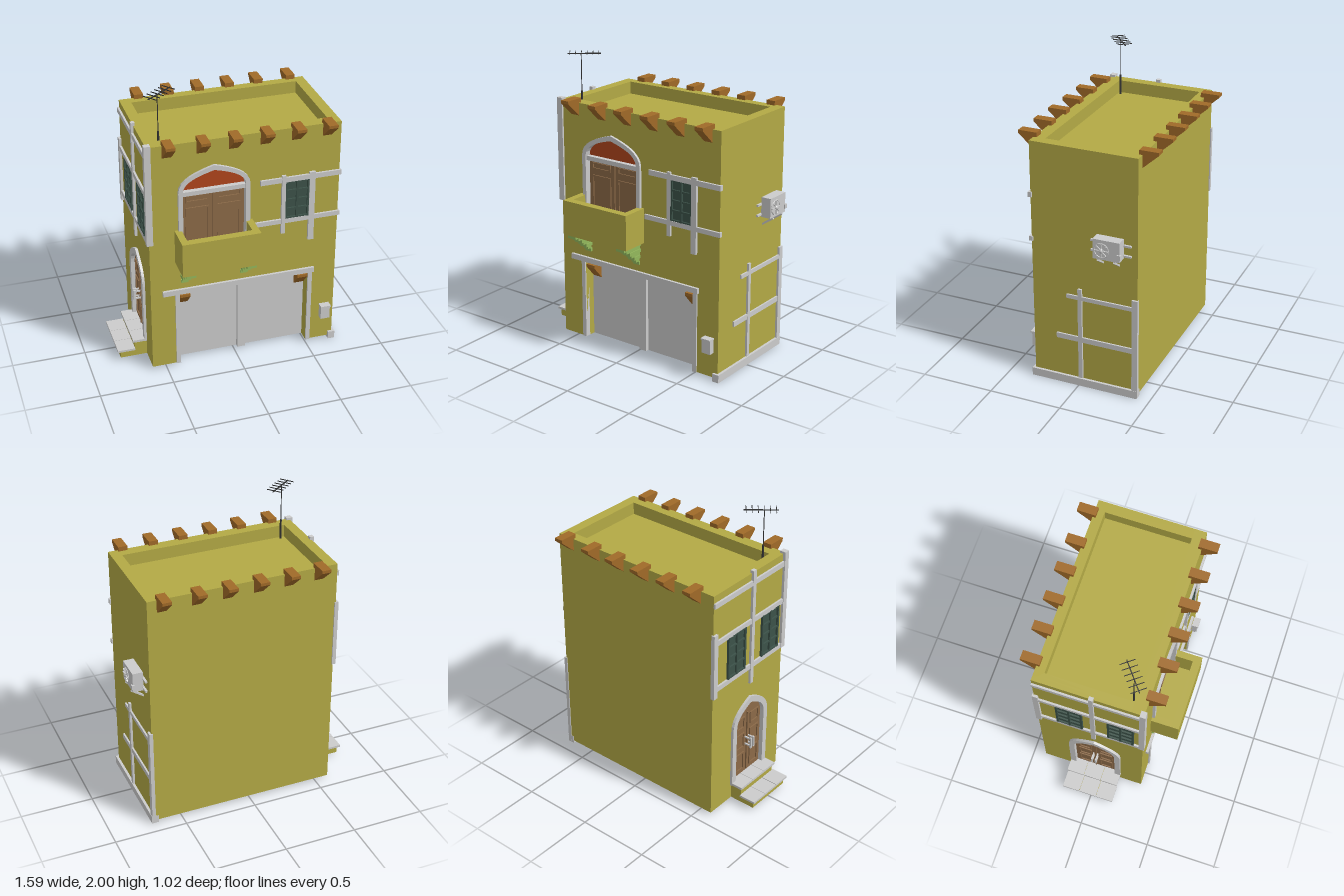
import * as THREE from 'three';

const mat = (color, side = THREE.FrontSide) => new THREE.MeshStandardMaterial({ color, side, flatShading: true });
const GREY = mat(0xcccccc), PLASTER = mat(0xb3a945, THREE.DoubleSide), TIMBER = mat(0xa06a28);
const DOOR = mat(0x8c6a48), RED = mat(0xb0451c), GLASS = mat(0x3c5249), GREEN = mat(0x93b85c), DARK = mat(0x333333);

// Facade planes, measured outward from the centre
const FRONT = 0.32, BACK = 0.41, LEFT = 0.595, RIGHT = 0.695, BASE = 0.02, TOP = 1.685;

function add(parent, name, geo, material) {
  const m = new THREE.Mesh(geo, material);
  m.name = name;
  parent.add(m);
  return m;
}
// Box given by its limits
function box(parent, name, x0, x1, y0, y1, z0, z1, material = GREY) {
  const m = add(parent, name, new THREE.BoxGeometry(x1 - x0, y1 - y0, z1 - z0), material);
  m.position.set((x0 + x1) / 2, (y0 + y1) / 2, (z0 + z1) / 2);
  return m;
}
const poly = (pts) => new THREE.Shape(pts.map((p) => new THREE.Vector2(...p)));
const rect = (x0, x1, y0, y1) => poly([[x0, y0], [x1, y0], [x1, y1], [x0, y1]]);
// Shape extruded between two depths
function slab(parent, name, shape, z0, z1, material) {
  const m = add(parent, name, new THREE.ExtrudeGeometry(shape, { depth: z1 - z0, bevelEnabled: false, curveSegments: 8 }), material);
  m.position.z = z0;
  return m;
}
// Profile in (z, y) extruded along x
function bracket(parent, name, pts, x0, x1, material) {
  const m = slab(parent, name, poly(pts.map(([z, y]) => [-z, y])), 0, x1 - x0, material);
  m.rotation.y = Math.PI / 2;
  m.position.set(x0, 0, 0);
  return m;
}
// Outline of a slightly pointed arch
function arch(cx, hw, y0, spring, apex) {
  const s = new THREE.Shape(), r = apex - spring;
  s.moveTo(cx - hw, y0);
  s.lineTo(cx + hw, y0);
  s.lineTo(cx + hw, spring);
  s.bezierCurveTo(cx + hw, spring + 0.55 * r, cx + hw * 0.5, apex - 0.2 * r, cx, apex);
  s.bezierCurveTo(cx - hw * 0.5, apex - 0.2 * r, cx - hw, spring + 0.55 * r, cx - hw, spring);
  s.lineTo(cx - hw, y0);
  return s;
}
function archFrame(parent, cx, hw, y0, spring, apex, z, t) {
  const s = arch(cx, hw, y0, spring, apex);
  s.holes.push(arch(cx, hw - t, y0 + 0.002, spring, apex - t * 1.15));
  slab(parent, 'archFrame', s, z - 0.03, z + 0.018, GREY);
}
function facade(root, name, angle) {
  const g = new THREE.Group();
  g.name = name;
  g.rotation.y = angle;
  root.add(g);
  return g;
}
// Glazed window with glazing bars
function windowUnit(parent, x0, x1, y0, y1, z) {
  const g = new THREE.Group();
  g.name = 'window';
  parent.add(g);
  box(g, 'glass', x0, x1, y0, y1, z - 0.02, z - 0.005, GLASS);
  for (let i = 0; i <= 2; i++) {
    const x = x0 + 0.007 + (x1 - x0 - 0.014) * i / 2;
    box(g, 'glazingBar', x - 0.007, x + 0.007, y0, y1, z - 0.01, z + 0.008, GLASS);
  }
  for (let i = 0; i <= 4; i++) {
    const y = y0 + 0.006 + (y1 - y0 - 0.012) * i / 4;
    box(g, 'glazingBar', x0, x1, y - 0.006, y + 0.006, z - 0.01, z + 0.006, GLASS);
  }
}
// Row of [x0, x1, y0, y1] boards fixed to a wall face
function boards(parent, list, z, out) {
  list.forEach(([x0, x1, y0, y1], i) => box(parent, 'timberBoard', x0, x1, y0, y1, z - 0.01, z + out + (i % 2) * 0.003));
}
function doorPanels(parent, cx, hw, rows, z) {
  for (const s of [-1, 1]) for (const [y0, y1] of rows) {
    const a = cx + s * 0.03, b = cx + s * (hw - 0.025);
    const lo = Math.min(a, b), hi = Math.max(a, b);
    const rim = rect(lo, hi, y0, y1);
    rim.holes.push(rect(lo + 0.01, hi - 0.01, y0 + 0.01, y1 - 0.01));
    slab(parent, 'panelMoulding', rim, z, z + 0.008, DOOR);
  }
  box(parent, 'doorMeeting', cx - 0.006, cx + 0.006, rows[0][0] - 0.02, rows[rows.length - 1][1] + 0.02, z, z + 0.01, DOOR);
}

function buildFront(root) {
  const g = facade(root, 'front', 0), z = FRONT;
  const wall = poly([[-LEFT, BASE], [-0.4, BASE], [-0.4, 0.58], [0.5, 0.58], [0.5, BASE], [RIGHT, BASE], [RIGHT, TOP], [-LEFT, TOP]]);
  wall.holes.push(arch(-0.16, 0.22, 0.87, 1.34, 1.49));
  slab(g, 'frontWall', wall, z - 0.08, z, PLASTER);

  // Garage
  box(g, 'garageDoor', -0.4, 0.5, BASE, 0.58, z - 0.09, z - 0.075);
  box(g, 'garageMiddlePost', 0.02, 0.075, BASE, 0.58, z - 0.08, z - 0.05);
  box(g, 'garageLintel', -0.515, 0.54, 0.58, 0.617, z - 0.03, z + 0.018);
  for (const x of [-0.43, 0.5]) box(g, 'garagePost', x, x + 0.03, BASE, 0.58, z - 0.03, z + 0.01);
  for (const x of [-0.395, 0.43])
    bracket(g, 'garageBrace', [[z - 0.075, 0.455], [z, 0.54], [z, 0.56], [z - 0.075, 0.56]], x, x + 0.07, TIMBER);

  // Balcony door with arched fanlight
  slab(g, 'fanlight', arch(-0.16, 0.22, 1.32, 1.34, 1.49), z - 0.045, z - 0.025, RED);
  box(g, 'transom', -0.38, 0.06, 1.308, 1.338, z - 0.04, z + 0.008);
  box(g, 'balconyDoor', -0.38, 0.06, 0.86, 1.31, z - 0.05, z - 0.025, DOOR);
  doorPanels(g, -0.16, 0.21, [[0.9, 1.205], [1.245, 1.292]], z - 0.025);
  archFrame(g, -0.16, 0.24, 0.86, 1.34, 1.51, z, 0.03);

  // Balcony tray
  const b = new THREE.Group();
  b.name = 'balcony';
  g.add(b);
  box(b, 'balconyFloor', -0.425, 0.1, 0.825, 0.87, z, 0.51, PLASTER);
  box(b, 'balconyFront', -0.425, 0.1, 0.87, 1.065, 0.457, 0.51, PLASTER);
  for (const x of [-0.425, 0.055]) box(b, 'balconySide', x, x + 0.045, 0.87, 1.065, z, 0.457, PLASTER);
  // Stepped corbels, narrowing downward
  for (const cx of [-0.365, 0.043]) for (let i = 0; i < 7; i++) {
    const hw = (i % 2 ? 0.026 : 0.033) - i * 0.0015, y = 0.825 - i * 0.0225;
    box(b, 'corbelStep', cx - hw, cx + hw, y - 0.0225, y, z, 0.5 - 0.165 * Math.pow(i / 6, 0.85), GREEN);
  }

  // Window and its boards
  windowUnit(g, 0.32, 0.487, 1.03, 1.31, z + 0.006);
  boards(g, [[0.15, 0.705, 1.305, 1.34], [0.295, 0.322, 0.925, 1.355], [0.115, 0.705, 1.0, 1.032], [0.485, 0.525, 0.845, 1.355]], z, 0.015);

  // Meter box
  box(g, 'meterBox', 0.595, 0.66, 0.195, 0.298, z, z + 0.04);
  box(g, 'meterLid', 0.592, 0.663, 0.29, 0.3, z, z + 0.05);
}

// Local x runs toward the front of the building
function buildLeft(root) {
  const g = facade(root, 'leftSide', -Math.PI / 2), z = LEFT;
  const wall = rect(-BACK, FRONT, BASE, TOP);
  wall.holes.push(arch(-0.02, 0.155, 0.13, 0.57, 0.735));
  slab(g, 'leftWall', wall, z - 0.04, z, PLASTER);

  slab(g, 'entranceDoor', arch(-0.02, 0.155, 0.13, 0.57, 0.735), z - 0.03, z - 0.012, DOOR);
  doorPanels(g, -0.02, 0.145, [[0.18, 0.32], [0.36, 0.48], [0.52, 0.61]], z - 0.012);
  archFrame(g, -0.02, 0.185, 0.13, 0.57, 0.765, z, 0.04);
  for (const s of [-1, 1]) {
    box(g, 'doorHandle', -0.026 + s * 0.014, -0.014 + s * 0.014, 0.36, 0.44, z + 0.03, z + 0.042);
    for (const y of [0.37, 0.425]) box(g, 'handleStem', -0.025 + s * 0.014, -0.015 + s * 0.014, y, y + 0.01, z - 0.015, z + 0.032);
  }

  // Steps with stone tiles
  box(g, 'lowerStep', -0.19, 0.155, BASE, 0.07, z, 0.78, PLASTER);
  box(g, 'upperStep', -0.19, 0.155, BASE, 0.133, z, 0.68, PLASTER);
  for (let i = 0; i < 3; i++) {
    const x = -0.205 + i * 0.125;
    box(g, 'lowerTile', x, x + 0.122, 0.07, 0.085, 0.68, 0.8);
    box(g, 'upperTile', x, x + 0.122, 0.133, 0.15, z - 0.01, 0.692);
  }

  windowUnit(g, -0.27, -0.09, 1.02, 1.33, z + 0.008);
  windowUnit(g, 0.08, 0.26, 1.02, 1.33, z + 0.008);
  boards(g, [[-0.41, 0.32, 1.6, 1.635], [-0.035, -0.005, 0.87, 1.705], [-0.41, 0.32, 1.325, 1.36], [-0.418, -0.38, 0.94, 1.41], [-0.41, 0.32, 0.985, 1.02]], z, 0.014);
  box(g, 'cornerPost', 0.295, FRONT + 0.013, 0.985, 1.7, 0.57, z + 0.018);
}

// Local x runs toward the back of the building
function buildRight(root) {
  const g = facade(root, 'rightSide', Math.PI / 2), z = RIGHT;
  slab(g, 'rightWall', rect(-FRONT, BACK, BASE, TOP), z - 0.02, z, PLASTER);
  boards(g, [[-0.08, BACK, 0.64, 0.667], [0, 0.028, 0.06, 0.72], [-0.155, BACK, 0.33, 0.366], [0.375, BACK + 0.005, 0.01, 0.72]], z, 0.012);
  box(g, 'baseBoard', -FRONT - 0.018, BACK + 0.003, 0, 0.055, z - 0.03, z + 0.018);

  // Air conditioner on a bracket
  const a = new THREE.Group();
  a.name = 'airConditioner';
  g.add(a);
  box(a, 'unitCase', 0.14, 0.32, 1.005, 1.14, z + 0.01, 0.775);
  for (const y of [1.015, 1.085]) box(a, 'wallRail', 0.095, 0.37, y, y + 0.013, z, z + 0.015);
  for (const x of [0.175, 0.285]) {
    box(a, 'supportArm', x - 0.006, x + 0.006, 0.993, 1.005, z, 0.775);
    const strut = box(a, 'supportStrut', -0.006, 0.006, -0.006, 0.006, -0.05, 0.05);
    strut.position.set(x, 0.972, 0.735);
    strut.rotation.x = -0.6;
  }
  const fan = new THREE.Group();
  fan.name = 'fan';
  fan.position.set(0.2, 1.068, 0.777);
  a.add(fan);
  add(fan, 'fanRing', new THREE.TorusGeometry(0.048, 0.004, 6, 20), GREY);
  add(fan, 'fanHub', new THREE.SphereGeometry(0.016, 10, 6), GREY);
  for (let i = 0; i < 4; i++) box(fan, 'fanGuard', -0.046, 0.046, -0.0025, 0.0025, 0, 0.008).rotation.z = i * Math.PI / 4;
  box(a, 'pipeValve', 0.305, 0.33, 1.03, 1.06, 0.765, 0.785);
}

function buildRoof(root) {
  const g = facade(root, 'roof', 0);
  box(g, 'roofDeck', -0.58, 0.68, 1.58, 1.6, -0.4, 0.31, PLASTER);
  const ring = rect(-LEFT, RIGHT, -FRONT, BACK);
  ring.holes.push(rect(-0.525, 0.624, -0.245, 0.345));
  slab(g, 'parapet', ring, 1.59, TOP, PLASTER).rotation.x = -Math.PI / 2;
  g.children[1].position.set(0, 1.59, 0);

  // Beam ends along both eaves
  const rows = [[1, FRONT, [-0.465, -0.24, -0.03, 0.18, 0.39, 0.6]], [-1, BACK, [-0.465, -0.255, -0.045, 0.165, 0.37, 0.6]]];
  for (const [s, face, xs] of rows) for (const x of xs) {
    let p = [[face - 0.022, 1.6], [face, 1.6], [face + 0.105, 1.695], [face + 0.105, 1.715], [face - 0.022, 1.715]];
    p = p.map(([z, y]) => [z * s, y]);
    bracket(g, 'beamEnd', p, x - 0.031, x + 0.031, TIMBER);
  }

  // Aerial
  const a = new THREE.Group();
  a.name = 'aerial';
  a.position.set(-0.49, 0, 0.22);
  g.add(a);
  add(a, 'mastFoot', new THREE.CylinderGeometry(0.007, 0.007, 0.14, 8), DARK).position.y = 1.67;
  add(a, 'mast', new THREE.CylinderGeometry(0.003, 0.003, 0.39, 8), DARK).position.y = 1.795;
  const boom = new THREE.Group();
  boom.name = 'aerialBoom';
  boom.position.y = 1.99;
  boom.rotation.y = 0.67;
  a.add(boom);
  box(boom, 'boomBar', -0.09, 0.13, -0.003, 0.003, -0.003, 0.003, DARK);
  for (let i = 0; i < 6; i++) {
    const x = -0.075 + i * 0.038;
    box(boom, 'aerialElement', x - 0.002, x + 0.002, 0.002, 0.007, -0.05, 0.05, DARK);
  }
}

export function createModel() {
  const root = new THREE.Group();
  root.name = 'townHouse';
  buildFront(root);
  buildLeft(root);
  buildRight(root);
  const back = facade(root, 'back', Math.PI);
  slab(back, 'backWall', rect(-RIGHT, LEFT, BASE, TOP), BACK - 0.02, BACK, PLASTER);
  buildRoof(root);
  return root;
}
